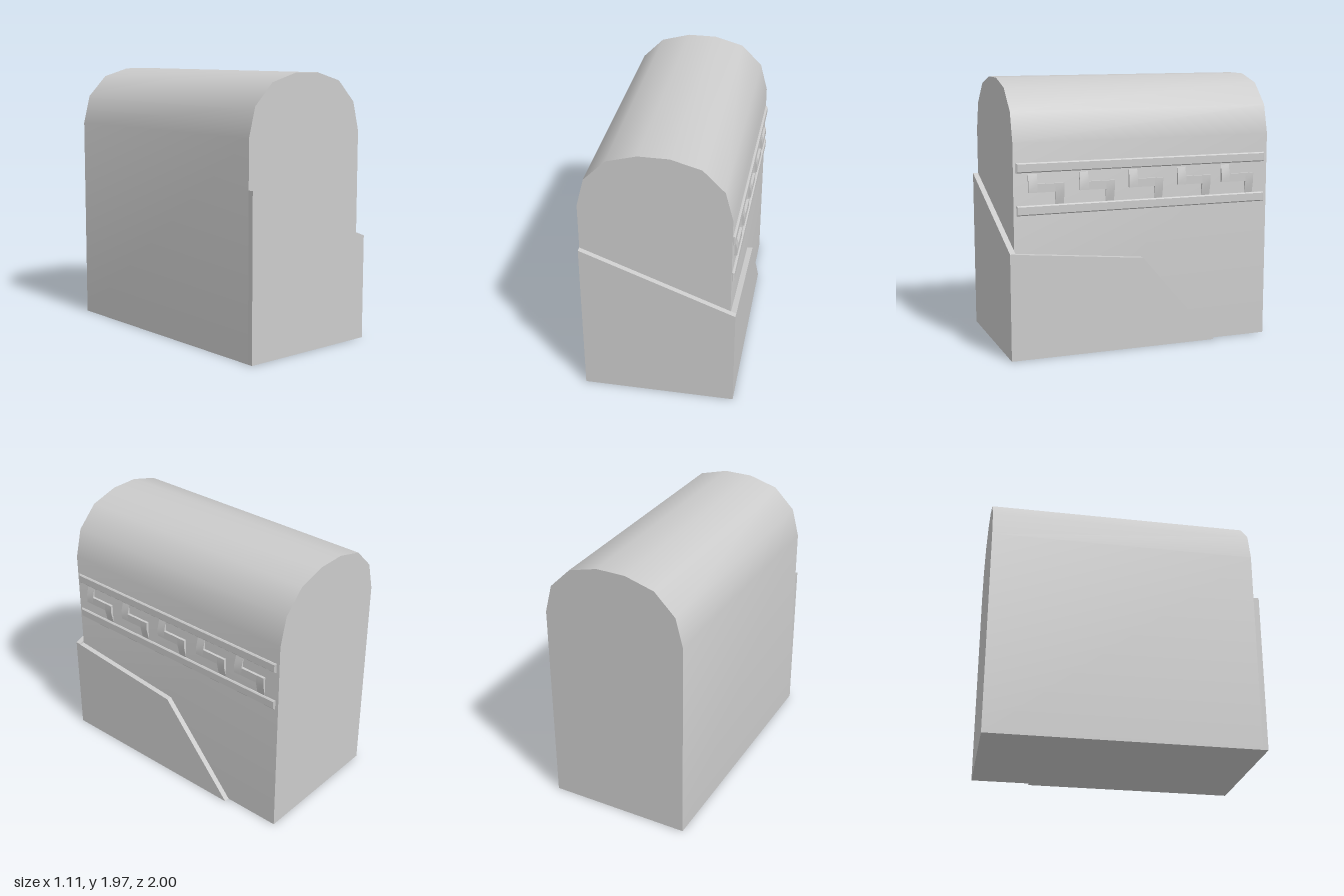
import * as THREE from 'three';
import { toCreasedNormals } from 'three/addons/utils/BufferGeometryUtils.js';

const material = new THREE.MeshStandardMaterial({ color: 0xcccccc });
const WALL = 0.51; // x of the decorated side wall

const outline = (points) => new THREE.Shape(points.map(([x, y]) => new THREE.Vector2(x, y)));

// Extrudes an (x, y) outline from z0 to z1
function alongZ(name, points, z0, z1) {
  const g = new THREE.ExtrudeGeometry(outline(points), { depth: z1 - z0, bevelEnabled: false });
  g.translate(0, 0, z0);
  const mesh = new THREE.Mesh(toCreasedNormals(g, 0.6), material);
  mesh.name = name;
  return mesh;
}

// Extrudes a (z, y) outline outwards in x, starting at x0
function alongX(name, points, x0, depth, bevel = 0) {
  const g = new THREE.ExtrudeGeometry(outline(points.map(([z, y]) => [-z, y])), {
    depth, bevelEnabled: bevel > 0, bevelSize: bevel, bevelOffset: -bevel, bevelThickness: bevel, bevelSegments: 1,
  });
  g.rotateY(Math.PI / 2).translate(x0, 0, 0);
  const mesh = new THREE.Mesh(toCreasedNormals(g, 0.3), material);
  mesh.name = name;
  return mesh;
}

export function createModel() {
  const model = new THREE.Group();
  model.name = 'archedBlock';

  // Body with a rounded vault on top
  model.add(alongZ('body', [
    [-0.555, 0], [WALL, 0], [WALL, 1.54], [0.455, 1.75], [0.3, 1.905], [0.085, 1.965],
    [-0.13, 1.965], [-0.345, 1.905], [-0.5, 1.75], [-0.555, 1.54],
  ], -1, 0.96));

  // Thin slabs over the lower front and side
  model.add(alongZ('frontSlab', [[-0.555, 0], [0.55, 0], [0.55, 0.77], [-0.555, 1.195]], 0.96, 1));
  model.add(alongX('sideSlab', [[0.96, 0], [0.96, 0.766], [0.01, 0.672], [-0.565, 0]], WALL, 0.04));

  // Bevelled rails above and below the frieze
  for (const [name, y0, y1] of [['upperRail', 1.33, 1.4], ['lowerRail', 1.03, 1.1]]) {
    model.add(alongX(name, [[0.94, y0], [0.94, y1], [-0.975, y1], [-0.975, y0]], WALL, 0.008, 0.008));
  }

  // Stepped key motifs whose stems slope back into the wall
  const frieze = new THREE.Group();
  frieze.name = 'frieze';
  const out = 0.53;
  for (const z of [0.855, 0.48, 0.107, -0.27, -0.622]) {
    const motif = new THREE.Group();
    motif.name = 'keyMotif';
    motif.add(
      alongZ('upperStem', [[WALL, 1.19], [out, 1.19], [out, 1.25], [WALL, 1.32]], z - 0.065, z),
      alongZ('bar', [[WALL, 1.19], [out, 1.19], [out, 1.25], [WALL, 1.25]], z - 0.195, z - 0.065),
      alongZ('lowerStem', [[WALL, 1.1], [out, 1.19], [out, 1.25], [WALL, 1.25]], z - 0.26, z - 0.195),
    );
    frieze.add(motif);
  }
  model.add(frieze);
  return model;
}
